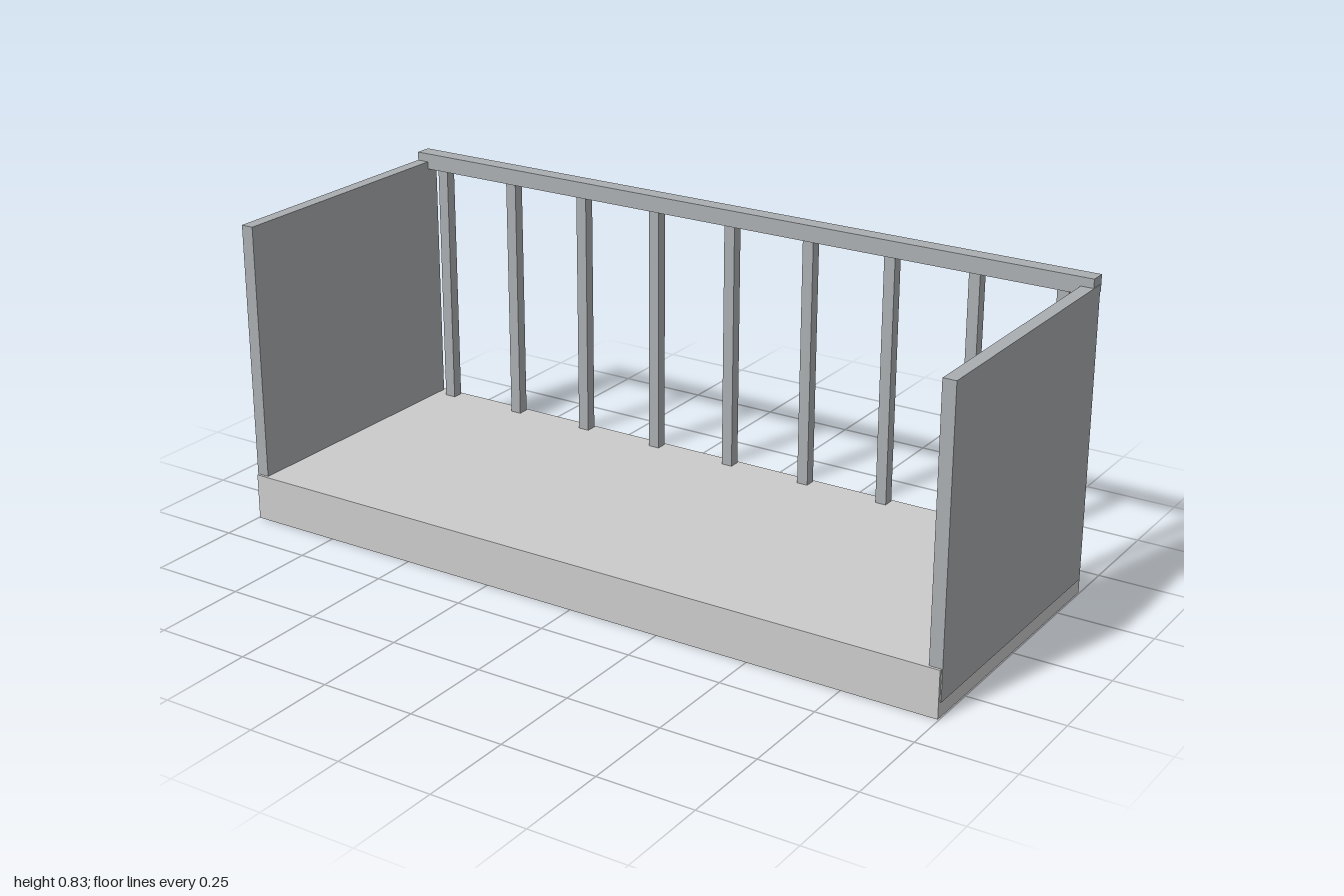
import * as THREE from 'three';

export function createModel() {
  const group = new THREE.Group();
  const slabMat = new THREE.MeshStandardMaterial({ color: 0xcccccc });
  const metalMat = new THREE.MeshStandardMaterial({ color: 0xaaaeb1 });

  // Box given by its lower and upper bounds on each axis
  function addBox(name, mat, [x0, x1], [y0, y1], [z0, z1]) {
    const mesh = new THREE.Mesh(new THREE.BoxGeometry(x1 - x0, y1 - y0, z1 - z0), mat);
    mesh.position.set((x0 + x1) / 2, (y0 + y1) / 2, (z0 + z1) / 2);
    mesh.name = name;
    group.add(mesh);
  }

  // Floor slab
  addBox('floorSlab', slabMat, [-0.997, 0.997], [0, 0.123], [-0.382, 0.382]);

  // Solid side panels, overlapping the slab edges
  addBox('leftPanel', metalMat, [0.966, 1], [0.04, 0.805], [-0.375, 0.375]);
  addBox('rightPanel', metalMat, [-1, -0.966], [0.04, 0.805], [-0.375, 0.375]);

  // Handrail along the back
  addBox('handrail', metalMat, [-0.999, 0.999], [0.785, 0.828], [-0.382, -0.338]);

  // Evenly spaced balusters under the handrail
  const half = 0.015;
  for (let i = -4; i <= 4; i++) {
    const x = i * 0.23;
    addBox('baluster', metalMat, [x - half, x + half], [0.12, 0.79], [-0.36 - half, -0.36 + half]);
  }

  return group;
}
